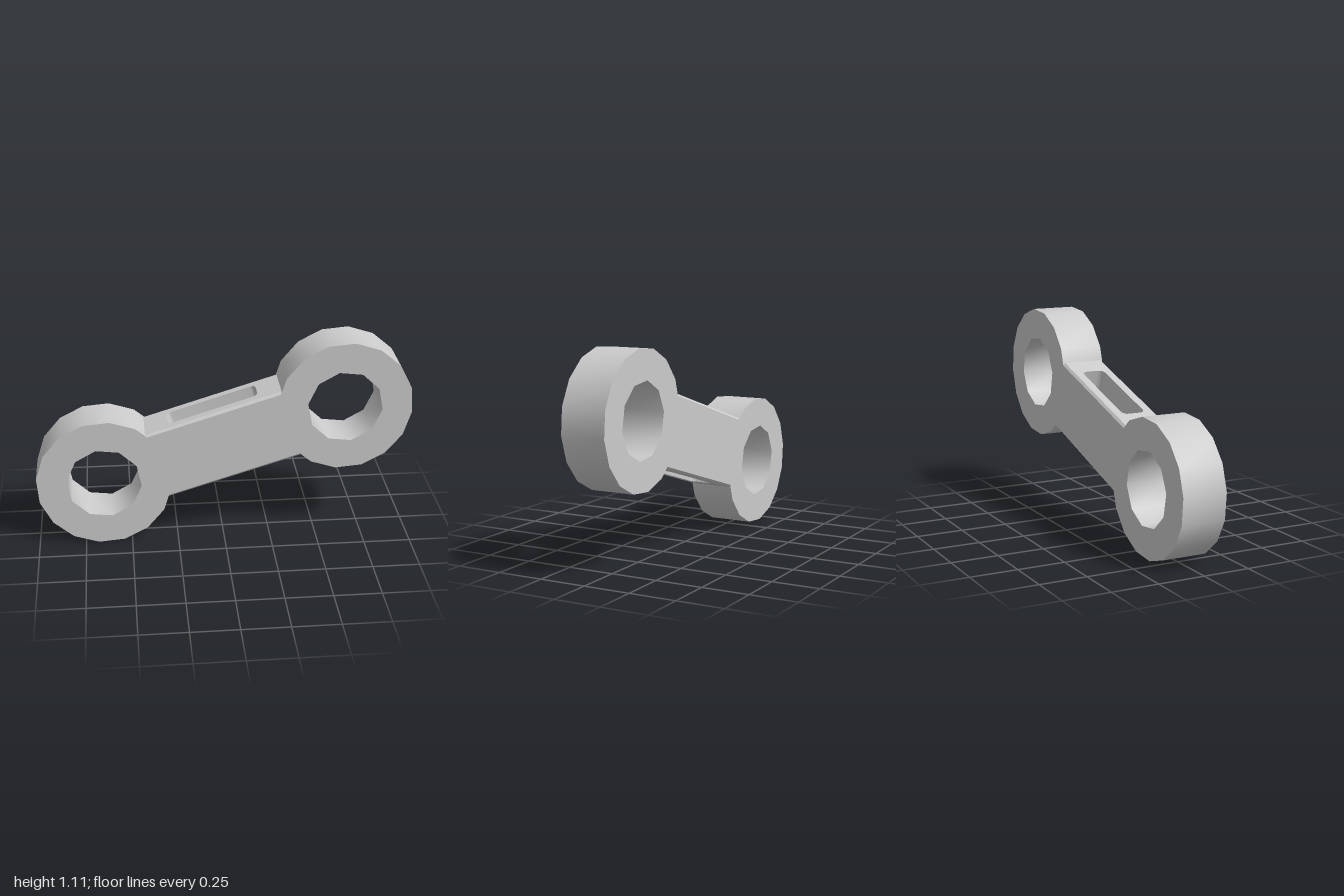
import * as THREE from 'three';
import { toCreasedNormals } from 'three/addons/utils/BufferGeometryUtils.js';

const DEPTH = 0.24, OUTER = 0.36, BORE = 0.2;
const END_X = 0.64, END_Y = 0.198, MID_Y = 0.5575;
const CREASE = 0.7;

const material = new THREE.MeshStandardMaterial({ color: 0xcccccc });

// Corner points of a regular polygon
function polygon(radius, sides, phase) {
  return Array.from({ length: sides }, (_, i) => {
    const a = phase + (i / sides) * Math.PI * 2;
    return new THREE.Vector2(radius * Math.cos(a), radius * Math.sin(a));
  });
}

// Thick ring with a coarse rim and a coarser bore
function ringGeometry() {
  const shape = new THREE.Shape(polygon(OUTER, 16, 0.28));
  shape.holes.push(new THREE.Path(polygon(BORE, 10, -0.12)));
  const geo = new THREE.ExtrudeGeometry(shape, { depth: DEPTH, bevelEnabled: false });
  geo.translate(0, 0, -DEPTH / 2);
  return toCreasedNormals(geo, CREASE);
}

// Bar with a rounded slot running through it from top edge to bottom edge
function barGeometry() {
  const halfL = 0.4, halfH = 0.195, halfD = DEPTH / 2, bevel = 0.012;
  const shape = new THREE.Shape([
    new THREE.Vector2(-halfL, -halfD), new THREE.Vector2(halfL, -halfD),
    new THREE.Vector2(halfL, halfD), new THREE.Vector2(-halfL, halfD),
  ]);

  const sx = 0.25, sz = 0.064, r = 0.03;
  const slot = new THREE.Path();
  [[1, 1], [-1, 1], [-1, -1], [1, -1]].forEach(([dx, dz], i) => {
    slot.absarc(dx * (sx - r), dz * (sz - r), r, i * Math.PI / 2, (i + 1) * Math.PI / 2, false);
  });
  slot.closePath();
  shape.holes.push(slot);

  const geo = new THREE.ExtrudeGeometry(shape, {
    depth: 3, steps: 3, bevelEnabled: false, curveSegments: 3,
  });

  // Space the four levels and pull in the long outer edges as a bevel
  const levels = [-halfH, -halfH + bevel, halfH - bevel, halfH];
  const pos = geo.attributes.position;
  for (let i = 0; i < pos.count; i++) {
    const level = Math.round(pos.getZ(i));
    const y = pos.getY(i);
    pos.setZ(i, levels[level]);
    if ((level === 0 || level === 3) && Math.abs(y) > halfD - 0.001) {
      pos.setY(i, Math.sign(y) * (halfD - bevel));
    }
  }
  geo.rotateX(-Math.PI / 2);
  return toCreasedNormals(geo, CREASE);
}

export function createModel() {
  const model = new THREE.Group();
  model.name = 'linkArm';

  // End rings
  const ring = ringGeometry();
  for (const side of [-1, 1]) {
    const mesh = new THREE.Mesh(ring, material);
    mesh.name = side < 0 ? 'rightRing' : 'leftRing';
    mesh.position.set(side * END_X, MID_Y + side * END_Y, 0);
    model.add(mesh);
  }

  // Sloping connecting bar
  const bar = new THREE.Mesh(barGeometry(), material);
  bar.name = 'slottedBar';
  bar.position.y = MID_Y;
  bar.rotation.z = Math.atan2(END_Y, END_X);
  model.add(bar);

  return model;
}
